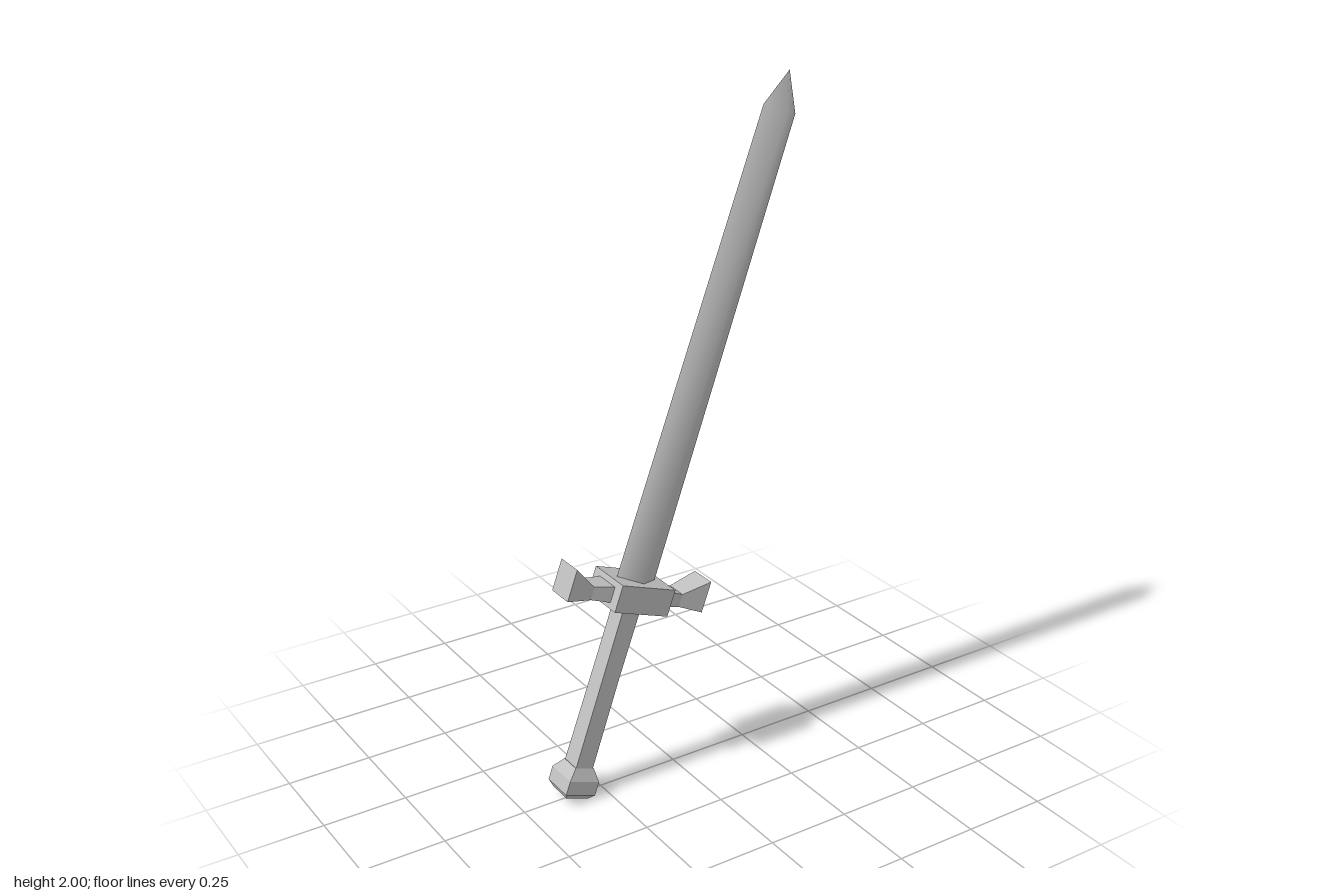
import * as THREE from 'three';

const steel = new THREE.MeshStandardMaterial({ color: 0xc0c0c0 });
steel.name = 'steel grey';

function meshFrom(name, positions, index, faceted) {
  let geo = new THREE.BufferGeometry();
  geo.setAttribute('position', new THREE.Float32BufferAttribute(positions, 3));
  geo.setIndex(index);
  if (faceted) geo = geo.toNonIndexed();
  geo.computeVertexNormals();
  const mesh = new THREE.Mesh(geo, steel);
  mesh.name = name;
  return mesh;
}

// Faceted solid with rectangular sections [y, halfZ, xMin, xMax], listed upwards
function rectLoft(name, sections) {
  const pos = [], idx = [];
  for (const [y, hz, x0, x1] of sections) pos.push(x0, y, hz, x1, y, hz, x1, y, -hz, x0, y, -hz);
  for (let s = 0; s < sections.length - 1; s++) {
    for (let i = 0; i < 4; i++) {
      const a = s * 4 + i, b = s * 4 + (i + 1) % 4;
      idx.push(a, b, b + 4, a, b + 4, a + 4);
    }
  }
  const t = (sections.length - 1) * 4;
  idx.push(0, 2, 1, 0, 3, 2, t, t + 1, t + 2, t, t + 2, t + 3);
  return meshFrom(name, pos, idx, true);
}

// One side of the diamond blade: smooth over the ridge, sharp at the edges
function bladeSide(name, side, baseZ, topZ) {
  const pos = [
    -0.065, 0.04, 0, 0, 0.04, side * baseZ, 0.066, 0.04, 0,
    -0.055, 1.384, 0, 0, 1.384, side * topZ, 0.057, 1.384, 0,
    -0.005, 1.489, 0,
  ];
  const idx = [0, 1, 4, 0, 4, 3, 1, 2, 5, 1, 5, 4, 3, 4, 6, 4, 5, 6];
  if (side < 0) idx.reverse();
  return meshFrom(name, pos, idx, false);
}

export function createModel() {
  const model = new THREE.Group();
  model.name = 'sword';

  // The sword is built upright around its guard, then leaned over
  const sword = new THREE.Group();
  sword.name = 'leaningSword';
  sword.position.set(-0.138, 0.598, 0);
  sword.rotation.z = -THREE.MathUtils.degToRad(20);
  model.add(sword);

  const blade = new THREE.Group();
  blade.name = 'blade';
  blade.add(bladeSide('bladeFront', 1, 0.043, 0.038), bladeSide('bladeBack', -1, 0.052, 0.04));
  sword.add(blade);

  // Guard block with flared arms on both sides
  const block = new THREE.Mesh(new THREE.BoxGeometry(0.182, 0.08, 0.144), steel);
  block.name = 'guardBlock';
  sword.add(block);
  for (const side of [-1, 1]) {
    const arm = rectLoft(side > 0 ? 'leftGuardArm' : 'rightGuardArm', [
      [0.08, 0.041, -0.024, 0.024],
      [0.153, 0.033, -0.015, 0.023],
      [0.233, 0.042, -0.063, 0.031],
    ]);
    // Lay the arm sideways, keeping its taller side upwards
    arm.rotation.z = -Math.PI / 2;
    const holder = new THREE.Group();
    holder.name = arm.name + 'Holder';
    if (side < 0) holder.rotation.y = Math.PI;
    holder.add(arm);
    sword.add(holder);
  }

  // Grip and pommel
  sword.add(rectLoft('grip', [
    [-0.55, 0.031, -0.029, 0.029],
    [-0.25, 0.029, -0.03, 0.026],
    [-0.03, 0.028, -0.031, 0.027],
  ]));
  sword.add(rectLoft('pommel', [
    [-0.623, 0.038, -0.036, 0.038],
    [-0.607, 0.05, -0.05, 0.05],
    [-0.565, 0.05, -0.05, 0.05],
    [-0.532, 0.032, -0.031, 0.032],
  ]));
  return model;
}
